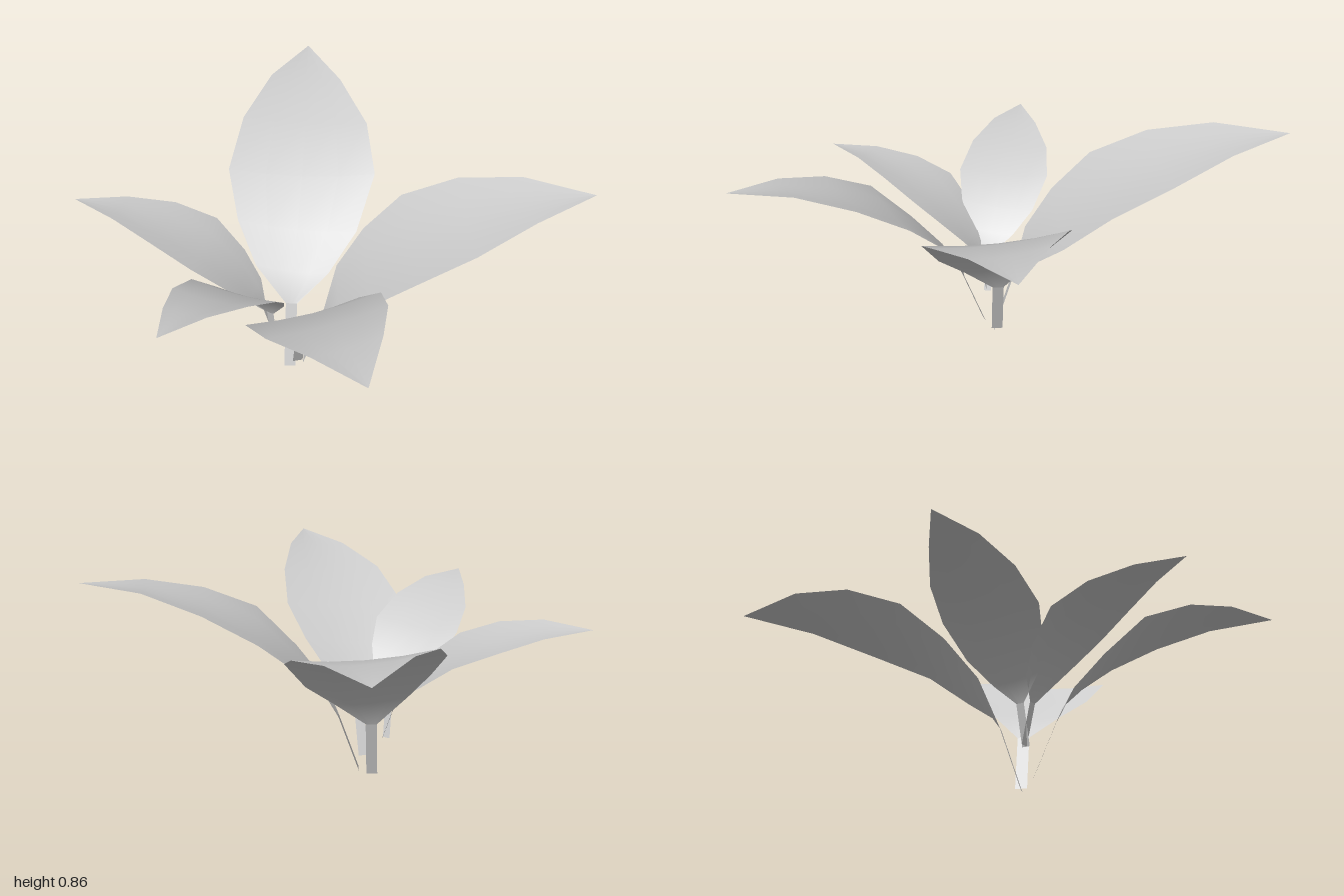
import * as THREE from 'three';

// Blade edges from base to tip: [distance out, distance sideways, rise],
// as shares of the leaf's reach, reach and total rise.
const LEFT_EDGE = [[0.05, 0.132, 0.24], [0.155, 0.205, 0.47], [0.302, 0.25, 0.7], [0.512, 0.214, 0.885], [0.745, 0.126, 0.995]];
const RIGHT_EDGE = [[0.055, -0.132, 0.18], [0.17, -0.231, 0.385], [0.335, -0.292, 0.655], [0.546, -0.254, 0.825], [0.767, -0.141, 0.95]];

// Each leaf: stem foot, stem top, tip, relative blade width and stem width
const LEAVES = [
  { name: 'backLeaf', foot: [-0.13, 0, 0.13], neck: [-0.145, 0.26, 0.05], tip: [-0.41, 0.86, -1], breadth: 1, stemWidth: 0.045 },
  { name: 'leftLeaf', foot: [-0.08, 0.03, 0.105], neck: [0, 0.27, 0.08], tip: [0.96, 0.83, -0.21], breadth: 1.01, stemWidth: 0.045 },
  { name: 'frontLeftLeaf', foot: [-0.085, 0.065, 0.16], neck: [-0.04, 0.29, 0.235], tip: [0.43, 0.785, 0.99], breadth: 1.03, stemWidth: 0.04 },
  { name: 'frontRightLeaf', foot: [-0.18, 0.155, 0.165], neck: [-0.18, 0.32, 0.2], tip: [-0.33, 0.69, 0.865], breadth: 0.96, stemWidth: 0.03 },
  { name: 'rightLeaf', foot: [-0.165, 0.155, 0.165], neck: [-0.215, 0.31, 0.165], tip: [-0.97, 0.69, 0.195], breadth: 0.9, stemWidth: 0.03 },
];

// Smooth sheet through rows of [left, right] edge points, sagging slightly at the middle
function sheet(rows, columns, sag) {
  const pos = [], index = [];
  rows.forEach(([a, b], i) => {
    for (let j = 0; j <= columns; j++) {
      const t = j / columns;
      const p = a.clone().lerp(b, t);
      p.y -= sag * a.distanceTo(b) * 4 * t * (1 - t);
      pos.push(p.x, p.y, p.z);
      if (i < rows.length - 1 && j < columns) {
        const k = i * (columns + 1) + j, n = k + columns + 1;
        index.push(k, k + 1, n + 1, k, n + 1, n);
      }
    }
  });
  const g = new THREE.BufferGeometry();
  g.setAttribute('position', new THREE.Float32BufferAttribute(pos, 3));
  g.setIndex(index);
  g.computeVertexNormals();
  return g;
}

function makeLeaf({ name, foot, neck, tip, breadth, stemWidth }, material) {
  const footPoint = new THREE.Vector3(...foot);
  const neckPoint = new THREE.Vector3(...neck);
  const tipPoint = new THREE.Vector3(...tip);

  // Leaf frame: outward, to its left, and the climb from stem top to tip
  const out = tipPoint.clone().sub(neckPoint);
  const rise = out.y;
  out.y = 0;
  const reach = out.length();
  out.normalize();
  const toLeft = new THREE.Vector3(out.z, 0, -out.x);

  const across = (p) => [1, -1].map((s) => p.clone().addScaledVector(toLeft, s * stemWidth / 2));
  const edgePoint = ([u, w, h]) => {
    const p = neckPoint.clone().addScaledVector(out, u * reach).addScaledVector(toLeft, w * breadth * reach);
    p.y += h * rise;
    return p;
  };

  // Flat ribbon stem
  const stem = new THREE.Mesh(sheet([across(footPoint), across(neckPoint)], 1, 0), material);
  stem.name = 'stem';

  // Pointed blade, growing from the stem top to the tip
  const rows = [
    across(neckPoint),
    ...LEFT_EDGE.map((p, i) => [edgePoint(p), edgePoint(RIGHT_EDGE[i])]),
    [tipPoint, tipPoint],
  ];
  const blade = new THREE.Mesh(sheet(rows, 4, 0.04), material);
  blade.name = 'blade';

  const leaf = new THREE.Group();
  leaf.name = name;
  leaf.add(stem, blade);
  return leaf;
}

export function createModel() {
  const model = new THREE.Group();
  model.name = 'plant';
  const leafGrey = new THREE.MeshStandardMaterial({ color: 0xcccccc, side: THREE.DoubleSide });
  leafGrey.name = 'leaf grey';
  for (const spec of LEAVES) model.add(makeLeaf(spec, leafGrey));
  return model;
}
